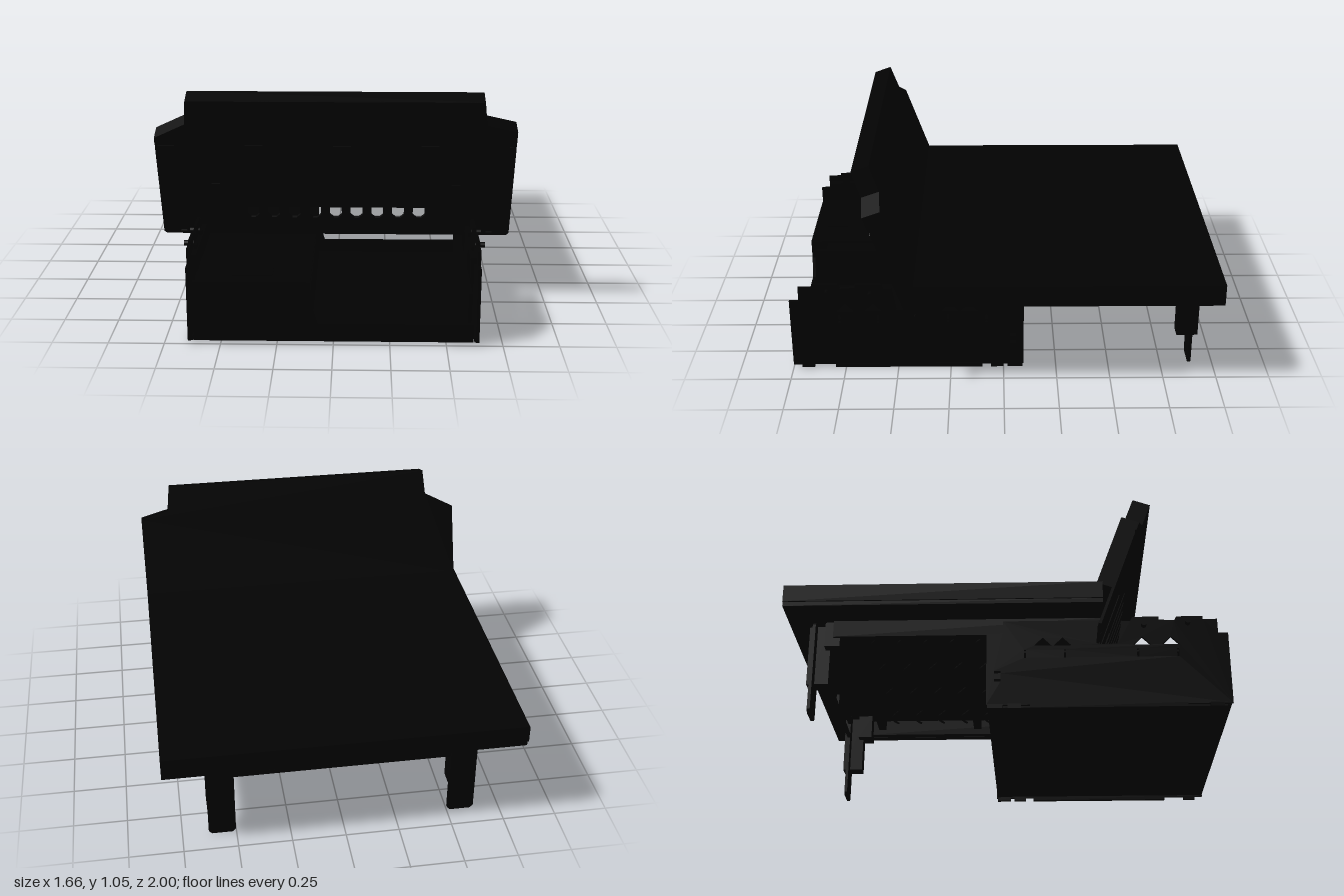
import * as THREE from 'three';

export function createModel() {
  const root = new THREE.Group();
  root.name = 'foldOutBed';
  const black = new THREE.MeshStandardMaterial({ color: 0x020202 });
  black.name = 'black';

  const add = (name, geo, parent = root) => {
    const m = new THREE.Mesh(geo, black);
    m.name = name;
    parent.add(m);
    return m;
  };
  // Box given by its minimum and maximum corners
  const box = (name, x0, x1, y0, y1, z0, z1, parent = root) => {
    const m = add(name, new THREE.BoxGeometry(x1 - x0, y1 - y0, z1 - z0), parent);
    m.position.set((x0 + x1) / 2, (y0 + y1) / 2, (z0 + z1) / 2);
    return m;
  };
  const loop = (pts) => pts.map(([x, y]) => new THREE.Vector2(x, y));
  // Flat plate cut from an outline, with optional holes
  const plate = (pts, depth, holes = []) => {
    const s = new THREE.Shape(loop(pts));
    holes.forEach((h) => s.holes.push(new THREE.Path(loop(h))));
    return new THREE.ExtrudeGeometry(s, { depth, bevelEnabled: false });
  };
  const rect = (x0, x1, y0, y1) => [[x0, y0], [x1, y0], [x1, y1], [x0, y1]];
  const chamfered = (x0, x1, y0, y1, c) => [
    [x0 + c, y0], [x1 - c, y0], [x1, y0 + c], [x1, y1 - c],
    [x1 - c, y1], [x0 + c, y1], [x0, y1 - c], [x0, y0 + c],
  ];
  const rod = (name, r, x0, x1, y, z) => {
    const m = add(name, new THREE.CylinderGeometry(r, r, x1 - x0, 10));
    m.rotation.z = Math.PI / 2;
    m.position.set((x0 + x1) / 2, y, z);
  };

  // Mattress platform, open underneath at the front
  box('bedTop', -0.825, 0.825, 0.45, 0.533, -1, 0.43);
  for (const s of [-1, 1]) {
    box('bedSideRim', s * 0.805 - 0.02, s * 0.805 + 0.02, 0.43, 0.45, -1, 0.43);
  }
  box('bedBackRim', -0.785, 0.785, 0.43, 0.45, -1, -0.96);
  box('sideHandle', -0.832, -0.82, 0.45, 0.53, -1, 0.43);

  // Frame beneath the platform
  for (const s of [-1, 1]) {
    box('frameSideRail', s * 0.61 - 0.02, s * 0.61 + 0.02, 0.37, 0.45, -0.8, 0.43);
  }
  for (const z of [-0.72, -0.2, 0.15]) {
    box('frameCrossRail', -0.59, 0.59, 0.4, 0.45, z - 0.02, z + 0.02);
  }

  // Wavy springs running across the frame
  for (let i = 0; i < 8; i++) {
    const z = -0.63 + i * 0.125;
    const pts = [];
    for (let k = 0; k <= 24; k++) {
      pts.push(new THREE.Vector3(-0.6 + k * 0.05, 0.438, z + 0.03 * Math.sin(k * Math.PI / 3)));
    }
    add('spring', new THREE.TubeGeometry(new THREE.CatmullRomCurve3(pts), 72, 0.006, 5));
  }

  // Rear legs: channel above, flat foot plate below
  for (const s of [-1, 1]) {
    const x = s * 0.565;
    const c = x + 0.03;
    box('legChannel', c - 0.035, c + 0.035, 0.16, 0.45, -0.92, -0.82);
    const foot = add('legPlate', plate(chamfered(-0.063, 0.063, 0, 0.45, 0.015), 0.014));
    foot.position.set(x, 0, -0.897);
    box('legBracket', x - 0.05, x + 0.05, 0.33, 0.45, -0.84, -0.77);
  }
  // Slotted plate joining the legs
  const gaps = [-0.4, 0, 0.4].map((x) => rect(x - 0.1, x + 0.1, 0.345, 0.4));
  add('rearRail', plate(rect(-0.502, 0.502, 0.322, 0.45), 0.014, gaps)).position.z = -0.897;

  // Tilted backrest
  const back = new THREE.Group();
  back.name = 'backrest';
  back.position.set(0, 0.53, 0.398);
  back.rotation.x = 0.347;
  root.add(back);
  const outline = (v0) => [
    [-0.825, v0], [0.825, v0], [0.825, 0.4], [0.685, 0.436], [0.67, 0.56],
    [-0.67, 0.56], [-0.68, 0.436], [-0.825, 0.36],
  ];
  add('backCushion', plate(outline(0), 0.081), back).position.z = 0.007;
  add('backHeadPad', plate(outline(0.32), 0.006), back).position.z = 0.087;

  // Slotted panel on the outer face, reaching below the cushion
  const slots = [];
  for (let i = -4; i <= 4; i++) {
    slots.push(chamfered(i * 0.098 - 0.028, i * 0.098 + 0.028, -0.1, 0.25, 0.018));
  }
  for (const s of [-1, 1]) slots.push(rect(s * 0.73 - 0.015, s * 0.73 + 0.015, -0.186, -0.176));
  add('backPanel', plate(chamfered(-0.825, 0.825, -0.2, 0.318, 0.012), 0.013, slots), back)
    .position.z = 0.078;
  for (const s of [-1, 1]) {
    box('backHinge', s * 0.56 - 0.02, s * 0.56 + 0.02, -0.17, 0.1, 0.09, 0.095, back);
  }

  // Base box: floor, end panels with a low opening, and a cupboard on one half
  box('baseFloor', -0.61, 0.61, 0.015, 0.035, -0.09, 0.99);
  const end = [
    [-0.62, 0.015], [0.62, 0.015], [0.62, 0.1], [-0.07, 0.1],
    [-0.1, 0.2], [-0.1, 0.295], [-0.62, 0.295],
  ];
  add('baseFrontPanel', plate(end, 0.015)).position.z = 0.98;
  add('baseRearPanel', plate(end, 0.015)).position.z = -0.09;
  box('cupboardTop', -0.61, -0.1, 0.285, 0.295, -0.075, 0.98);
  for (const x of [-0.61, -0.115, 0.595]) {
    box('baseInnerWall', x, x + 0.015, 0.035, 0.24, -0.02, 0.98);
  }
  box('cupboardHatch', -0.45, -0.27, 0.295, 0.301, 0.82, 0.93);

  // Side plates with truss cut-outs; outline runs along z and y
  const side = [
    [1, 0.015], [1, 0.36], [0.955, 0.36], [0.955, 0.43], [0.89, 0.43], [0.89, 0.445],
    [0.77, 0.445], [0.76, 0.425], [0.69, 0.43], [0.69, 0.445], [0.57, 0.445], [0.56, 0.425],
    [0.52, 0.425], [0.5, 0.31], [0.42, 0.31], [0.42, 0.43], [-0.02, 0.43], [-0.02, 0.37],
    [-0.095, 0.37], [-0.095, 0.015],
  ];
  const cuts = [];
  for (const z of [0.74, 0.61, 0.25, 0.16]) {
    cuts.push([[z - 0.04, 0.305], [z + 0.04, 0.305], [z, 0.345]]);
  }
  for (const z of [0.77, 0.59, 0.26, 0.08]) cuts.push(rect(z - 0.005, z + 0.005, 0.245, 0.285));
  for (const y of [0.13, 0.17]) cuts.push(rect(-0.06, -0.03, y, y + 0.012));
  for (const s of [-1, 1]) {
    const p = add('baseSidePlate', plate(side, 0.014, cuts));
    p.rotation.y = -Math.PI / 2;
    p.position.x = s * 0.638 + 0.007;
    for (const [z0, z1] of [[0.9, 0.96], [0.1, 0.8], [0, 0.06], [-0.09, -0.02]]) {
      box('baseFoot', s * 0.637 - 0.01, s * 0.637 + 0.01, 0, 0.02, z0, z1);
    }
    // Linkage arms, slide and pivots
    for (const z of [0.86, 0.675, 0.34, 0.03]) {
      box('linkArm', s * 0.615 - 0.006, s * 0.615 + 0.006, 0.2, 0.42, z - 0.018, z + 0.018);
    }
    box('slideRail', s * 0.615 - 0.012, s * 0.615 + 0.012, 0.37, 0.4, 0.54, 0.95);
    rod('pivot', 0.012, s * 0.65 - 0.022, s * 0.65 + 0.022, 0.41, 0.82);
    rod('pivot', 0.012, s * 0.65 - 0.022, s * 0.65 + 0.022, 0.4, 0.62);
  }
  return root;
}
